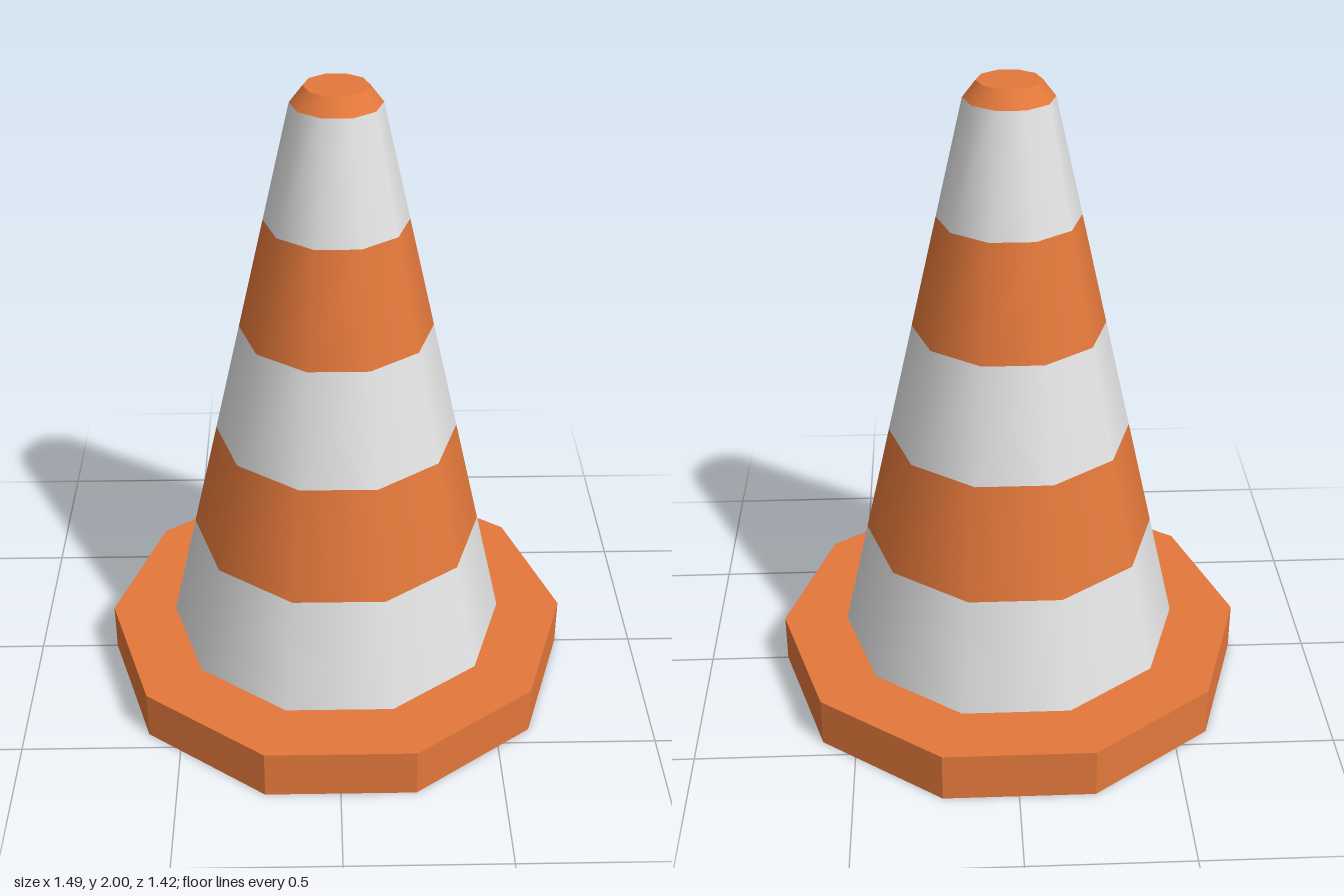
import * as THREE from 'three';

const SIDES = 10;

export function createModel() {
  const model = new THREE.Group();
  model.name = 'trafficCone';

  const orange = new THREE.MeshStandardMaterial({ color: 0xe3783b });
  orange.name = 'orange';
  const white = new THREE.MeshStandardMaterial({ color: 0xe4e4e4 });
  white.name = 'white';

  // Ten-sided ring between two heights, with a corner on the x axis
  function addRing(name, y0, y1, r0, r1, material, open, flat) {
    let geometry = new THREE.CylinderGeometry(r1, r0, y1 - y0, SIDES, 1, open, Math.PI / 2);
    if (flat) {
      geometry = geometry.toNonIndexed();
      geometry.computeVertexNormals();
    }
    const mesh = new THREE.Mesh(geometry, material);
    mesh.name = name;
    mesh.position.y = (y0 + y1) / 2;
    model.add(mesh);
  }

  // Base slab with crisp edges
  addRing('base', 0, 0.16, 0.747, 0.747, orange, false, true);

  // Tapering body in alternating bands
  const heights = [0.16, 0.52, 0.878, 1.237, 1.59, 1.95];
  const radiusAt = (y) => THREE.MathUtils.mapLinear(y, 0.16, 1.95, 0.54, 0.134);
  for (let i = 0; i < heights.length - 1; i++) {
    const [y0, y1] = [heights[i], heights[i + 1]];
    const isWhite = i % 2 === 0;
    addRing((isWhite ? 'whiteBand' : 'orangeBand') + (i + 1), y0, y1,
      radiusAt(y0), radiusAt(y1), isWhite ? white : orange, true, false);
  }

  // Bevelled tip with a flat top
  addRing('tip', 1.95, 2, 0.134, 0.095, orange, false, false);

  return model;
}
